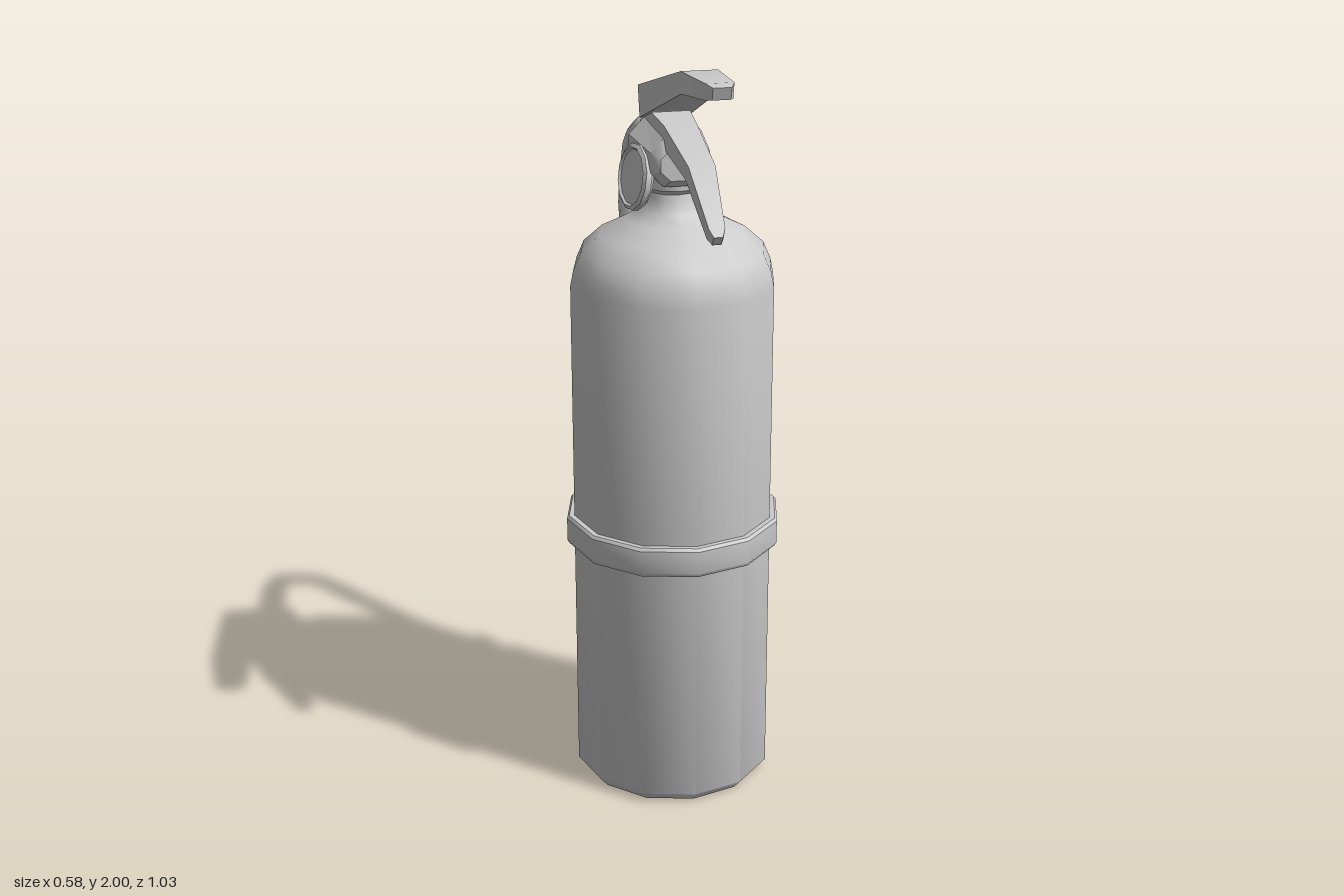
import * as THREE from 'three';
import { toCreasedNormals } from 'three/addons/utils/BufferGeometryUtils.js';

const material = new THREE.MeshStandardMaterial({ color: 0xcccccc });
const V = (x, y, z) => new THREE.Vector3(x, y, z);

function addMesh(group, name, geometry, crease = 0.7) {
  const mesh = new THREE.Mesh(toCreasedNormals(geometry, crease), material);
  mesh.name = name;
  group.add(mesh);
  return mesh;
}

// Skin a row of equal-sized rings and close both ends
function loft(rings) {
  const pos = [];
  const tri = (...pts) => pts.forEach((p) => pos.push(p.x, p.y, p.z));
  const n = rings[0].length;
  for (let i = 0; i < rings.length - 1; i++) {
    for (let j = 0; j < n; j++) {
      const k = (j + 1) % n;
      const [a, b, c, d] = [rings[i][j], rings[i][k], rings[i + 1][k], rings[i + 1][j]];
      tri(a, b, c);
      tri(a, c, d);
    }
  }
  const first = rings[0], last = rings[rings.length - 1];
  for (let j = 1; j < n - 1; j++) {
    tri(first[0], first[j + 1], first[j]);
    tri(last[0], last[j], last[j + 1]);
  }
  const g = new THREE.BufferGeometry();
  g.setAttribute('position', new THREE.Float32BufferAttribute(pos, 3));
  return g;
}

// Bar section: half width, bottom (z, y) and top (z, y)
const bar = ([w, zb, yb, zt, yt]) => [V(-w, yb, zb), V(w, yb, zb), V(w, yt, zt), V(-w, yt, zt)];

// Octagonal section facing z
function octagon([z, w, y0, y1]) {
  const cy = (y0 + y1) / 2, h = (y1 - y0) / 2;
  return [[1, -0.4], [1, 0.4], [0.55, 1], [-0.55, 1], [-1, 0.4], [-1, -0.4], [-0.55, -1], [0.55, -1]]
    .map(([x, y]) => V(x * w, cy + y * h, z));
}

const lathe = (profile, sides) =>
  new THREE.LatheGeometry(profile.map(([r, y]) => new THREE.Vector2(r, y)), sides);

export function createModel() {
  const group = new THREE.Group();
  group.name = 'fireExtinguisher';
  const bodyZ = 0.035, hoseZ = -0.333;

  // Cylinder with domed shoulder and neck
  addMesh(group, 'tank', lathe([
    [0, 0.003], [0.245, 0.003], [0.268, 0.03], [0.268, 1.4], [0.26, 1.44], [0.24, 1.485], [0.19, 1.53],
    [0.12, 1.565], [0.085, 1.59], [0.065, 1.625], [0.06, 1.68],
  ], 12), 0.75).position.z = bodyZ;
  addMesh(group, 'neckCollar', lathe([
    [0, 1.635], [0.06, 1.635], [0.075, 1.65], [0.075, 1.69], [0, 1.69],
  ], 12)).position.z = bodyZ;

  // Strap around the tank
  addMesh(group, 'strap', lathe([
    [0.262, 0.685], [0.282, 0.685], [0.288, 0.695], [0.288, 0.757], [0.282, 0.765], [0.262, 0.765],
  ], 12), 0.6).position.z = bodyZ;

  // Valve head
  addMesh(group, 'valveBody', loft([
    [-0.08, 0.065, 1.68, 1.79], [-0.05, 0.095, 1.66, 1.81], [0.115, 0.075, 1.665, 1.79], [0.14, 0.055, 1.685, 1.765],
  ].map(octagon)), 0.6);

  // Squeeze lever
  addMesh(group, 'lever', loft([
    [0.065, -0.055, 1.805, -0.073, 1.885], [0.045, 0.305, 1.937, 0.3, 1.99],
    [0.034, 0.48, 1.958, 0.49, 1.998], [0.022, 0.505, 1.962, 0.515, 1.992],
  ].map(bar)), 0.4);

  // Carrying handle
  addMesh(group, 'handle', loft([
    [0.055, -0.06, 1.77, -0.055, 1.84], [0.042, 0.13, 1.76, 0.115, 1.82], [0.033, 0.3, 1.73, 0.33, 1.768],
    [0.02, 0.46, 1.625, 0.475, 1.655], [0.011, 0.475, 1.615, 0.49, 1.637],
  ].map(bar)), 0.6);

  // Pressure gauge, tilted a little up and forward
  const gauge = addMesh(group, 'gauge', lathe([
    [0, -0.015], [0.075, -0.015], [0.085, -0.005], [0.085, 0.01], [0.075, 0.016], [0.07, 0.01], [0, 0.01],
  ], 12));
  gauge.position.set(-0.095, 1.675, 0.035);
  gauge.quaternion.setFromUnitVectors(V(0, 1, 0), V(-1, 0.16, 0.2).normalize());
  const stem = addMesh(group, 'gaugeStem', new THREE.CylinderGeometry(0.03, 0.03, 0.08, 8), 0.9);
  stem.rotation.z = Math.PI / 2;
  stem.position.set(-0.05, 1.69, 0.035);

  // Outlet fitting for the hose
  const outlet = addMesh(group, 'hoseOutlet', lathe([
    [0, -0.075], [0.05, -0.075], [0.05, 0], [0.065, 0.008], [0.065, 0.045], [0.055, 0.055], [0, 0.055],
  ], 8), 0.9);
  outlet.rotation.x = -Math.PI / 2;
  outlet.position.set(0, 1.74, -0.08);

  // Hose: octagonal rings along a bent path
  const path = [
    [-0.1, 1.735], [-0.18, 1.732], [-0.295, 1.718], [-0.36, 1.69], [-0.415, 1.645], [-0.455, 1.56], [-0.477, 1.47],
    [-0.453, 1.375], [-0.41, 1.24], [-0.37, 1.11], [-0.343, 1], [hoseZ, 0.9], [hoseZ, 0.58],
  ].map(([z, y]) => V(0, y, z));
  const X = V(1, 0, 0);
  addMesh(group, 'hose', loft(path.map((p, i) => {
    const t = path[Math.min(i + 1, path.length - 1)].clone().sub(path[Math.max(i - 1, 0)]).normalize();
    const n = t.clone().cross(X);
    return Array.from({ length: 8 }, (_, k) => {
      const a = (k + 0.5) * Math.PI / 4;
      return p.clone().addScaledVector(X, 0.033 * Math.cos(a)).addScaledVector(n, 0.037 * Math.sin(a));
    });
  })), 0.9);

  // Flared nozzle with its ferrule, and the ring that holds the hose
  const hosePart = (name, profile) => {
    const mesh = addMesh(group, name, lathe(profile, 8), 0.9);
    mesh.rotation.y = Math.PI / 8;
    mesh.position.z = hoseZ;
  };
  hosePart('nozzle', [[0, 0.1], [0.076, 0.1], [0.08, 0.108], [0.043, 0.52], [0, 0.52]]);
  hosePart('ferrule', [[0, 0.505], [0.042, 0.51], [0.05, 0.53], [0.05, 0.585], [0.04, 0.605], [0, 0.605]]);
  hosePart('hoseRing', [[0, 0.708], [0.052, 0.708], [0.057, 0.715], [0.057, 0.738], [0.052, 0.746], [0, 0.746]]);

  // Bracket from strap to ring
  for (const [name, w, h, d, z] of [
    ['bracketPlate', 0.15, 0.09, 0.035, -0.265],
    ['bracketArm', 0.045, 0.035, 0.08, -0.26],
  ]) addMesh(group, name, new THREE.BoxGeometry(w, h, d)).position.set(0, 0.725, z);

  return group;
}
